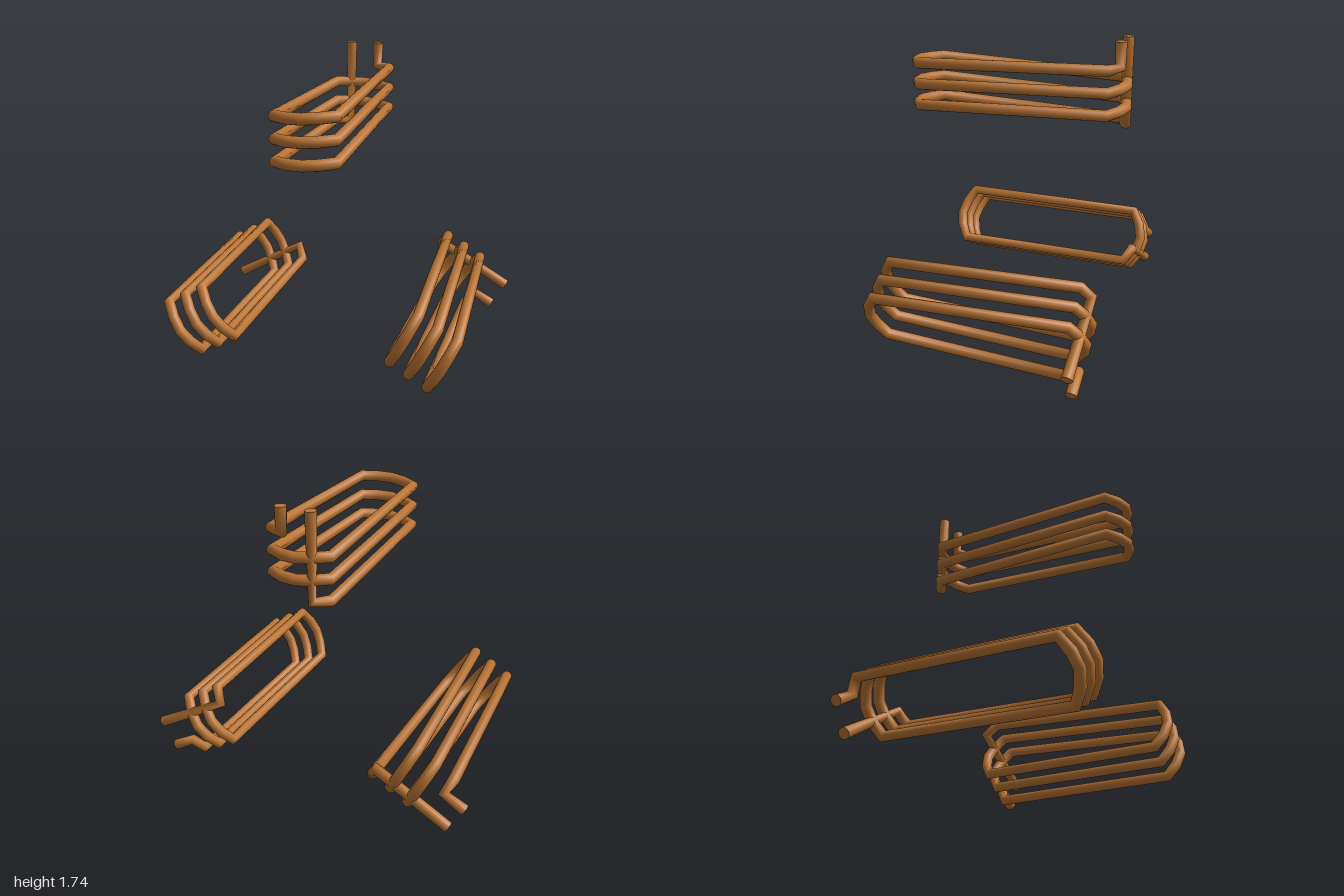
import * as THREE from 'three';

const WIRE = 0.0325;          // wire radius
const HALF_W = 0.172;         // half width of the winding
const HALF_L = 0.565;         // half length of the straight sides
const BULGE = 0.068;          // how far the rounded ends stand out
const AXIS_Y = 0.66;          // height of the axis the coils are arranged around
const INNER = 1.25 - AXIS_Y;  // radial start of the winding
const LEAD_TOP = 1.75 - AXIS_Y;
const SIDE_RISE = 0.04, ARC_RISE = 0.0225, TURNS = 3, ARC_STEPS = 4;

// Straight-segment wire path with one ring per corner
class WirePath extends THREE.Curve {
  constructor(points) { super(); this.points = points; }
  getPointAt(u, target = new THREE.Vector3()) {
    return target.copy(this.points[Math.round(u * (this.points.length - 1))]);
  }
  getTangentAt(u, target = new THREE.Vector3()) {
    const p = this.points, i = Math.round(u * (p.length - 1));
    target.set(0, 0, 0);
    if (i > 0) target.add(p[i].clone().sub(p[i - 1]).normalize());
    if (i < p.length - 1) target.add(p[i + 1].clone().sub(p[i]).normalize());
    return target.normalize();
  }
}

function coilPoints() {
  const pts = [];
  const add = (x, y, z) => pts.push(new THREE.Vector3(x, y, z));
  const leadX = HALF_W / 2, leadZ = -HALF_L - BULGE * Math.SQRT1_2;
  let y = INNER;

  // Long lead down to the inner end
  add(-leadX, LEAD_TOP, leadZ);
  add(-leadX, y - ARC_RISE / ARC_STEPS, leadZ);

  // Turns: left side, front arc, right side, back arc
  for (let turn = 0; turn < TURNS; turn++) {
    for (const s of [-1, 1]) {
      add(s * HALF_W, y, s * HALF_L * 1);
      y += SIDE_RISE;
      const end = -s;
      // straight side runs to the opposite end, at the same x
      add(s * HALF_W, y, end * HALF_L);
      pts[pts.length - 2].z = s < 0 ? -HALF_L : HALF_L;
      const last = turn === TURNS - 1 && s > 0;
      for (let k = 1; k < ARC_STEPS && !last; k++) {
        const t = k / ARC_STEPS;
        add(s * HALF_W * (1 - 2 * t), y + ARC_RISE * t, end * (HALF_L + BULGE * Math.sin(Math.PI * t)));
      }
      y += ARC_RISE;
    }
  }

  // Short lead from the outer end
  add(leadX, y - ARC_RISE * 0.75, leadZ);
  add(leadX, LEAD_TOP, leadZ);
  return pts;
}

export function createModel() {
  const model = new THREE.Group();
  model.name = 'coilSet';
  const copper = new THREE.MeshStandardMaterial({ color: 0xb87333 });

  const pts = coilPoints();
  const wireGeo = new THREE.TubeGeometry(new WirePath(pts), pts.length - 1, WIRE, 16, false);
  const capGeo = new THREE.CircleGeometry(WIRE, 16).rotateX(-Math.PI / 2);

  // Three equal coils set a third of a turn apart
  ['topCoil', 'leftCoil', 'rightCoil'].forEach((name, i) => {
    const coil = new THREE.Group();
    coil.name = name;
    const wire = new THREE.Mesh(wireGeo, copper);
    wire.name = 'windingWire';
    coil.add(wire);
    for (const end of [pts[0], pts[pts.length - 1]]) {
      const cap = new THREE.Mesh(capGeo, copper);
      cap.name = 'leadEnd';
      cap.position.copy(end);
      coil.add(cap);
    }
    coil.position.y = AXIS_Y;
    coil.rotation.z = -i * Math.PI * 2 / 3;
    model.add(coil);
  });
  return model;
}
